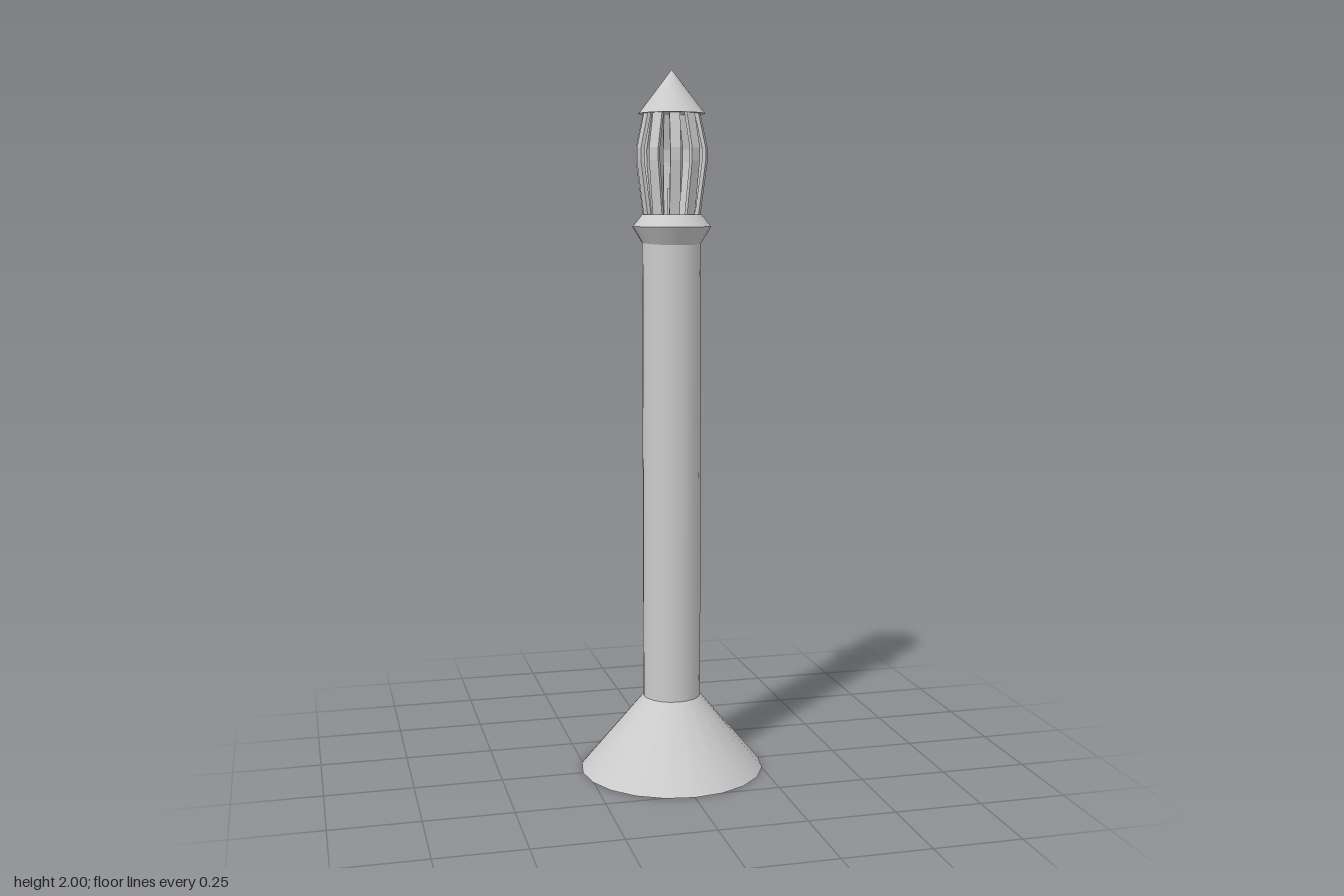
import * as THREE from 'three';

const SIDES = 20;
const material = new THREE.MeshStandardMaterial({ color: 0xcccccc });

export function createModel() {
  const model = new THREE.Group();

  const add = (name, geometry, parent = model) => {
    const mesh = new THREE.Mesh(geometry, material);
    mesh.name = name;
    parent.add(mesh);
    return mesh;
  };

  // Round section between two heights, smooth around and sharp at its rims
  const section = (name, rBottom, rTop, y0, y1, open, parent, sides = SIDES) => {
    const geometry = new THREE.CylinderGeometry(rTop, rBottom, y1 - y0, sides, 1, open);
    geometry.translate(0, (y0 + y1) / 2, 0);
    return add(name, geometry, parent);
  };

  // Flared foot and tall post
  section('base', 0.265, 0.083, 0, 0.217, false);
  section('post', 0.083, 0.083, 0.217, 1.53, true);

  // Lantern head, slightly narrower across x
  const head = new THREE.Group();
  head.name = 'lanternHead';
  head.scale.x = 0.96;
  model.add(head);

  section('collarFlare', 0.084, 0.115, 1.52, 1.57, false, head);
  section('collarTop', 0.115, 0.088, 1.57, 1.603, false, head);
  section('candle', 0.014, 0.014, 1.6, 1.675, false, head, 10);
  section('roof', 0.097, 0, 1.88, 2, false, head);

  // Bent cage bar: side profile (radius, height) extruded to the bar's width
  const width = 0.03;
  const outer = [[0.082, 1.6], [0.103, 1.75], [0.103, 1.785], [0.081, 1.882]];
  const inner = outer.map(([r, y]) => [r - 0.011, y]).reverse();
  const profile = new THREE.Shape([...outer, ...inner].map(([r, y]) => new THREE.Vector2(r, y)));
  const barGeometry = new THREE.ExtrudeGeometry(profile, { depth: width, bevelEnabled: false });
  barGeometry.translate(0, 0, -width / 2);

  // Ten bars around the lantern
  const cage = new THREE.Group();
  cage.name = 'cage';
  head.add(cage);
  for (let i = 0; i < 10; i++) {
    const bar = add('cageBar', barGeometry, cage);
    bar.rotation.y = THREE.MathUtils.degToRad(81.5 - i * 36);
  }

  return model;
}
